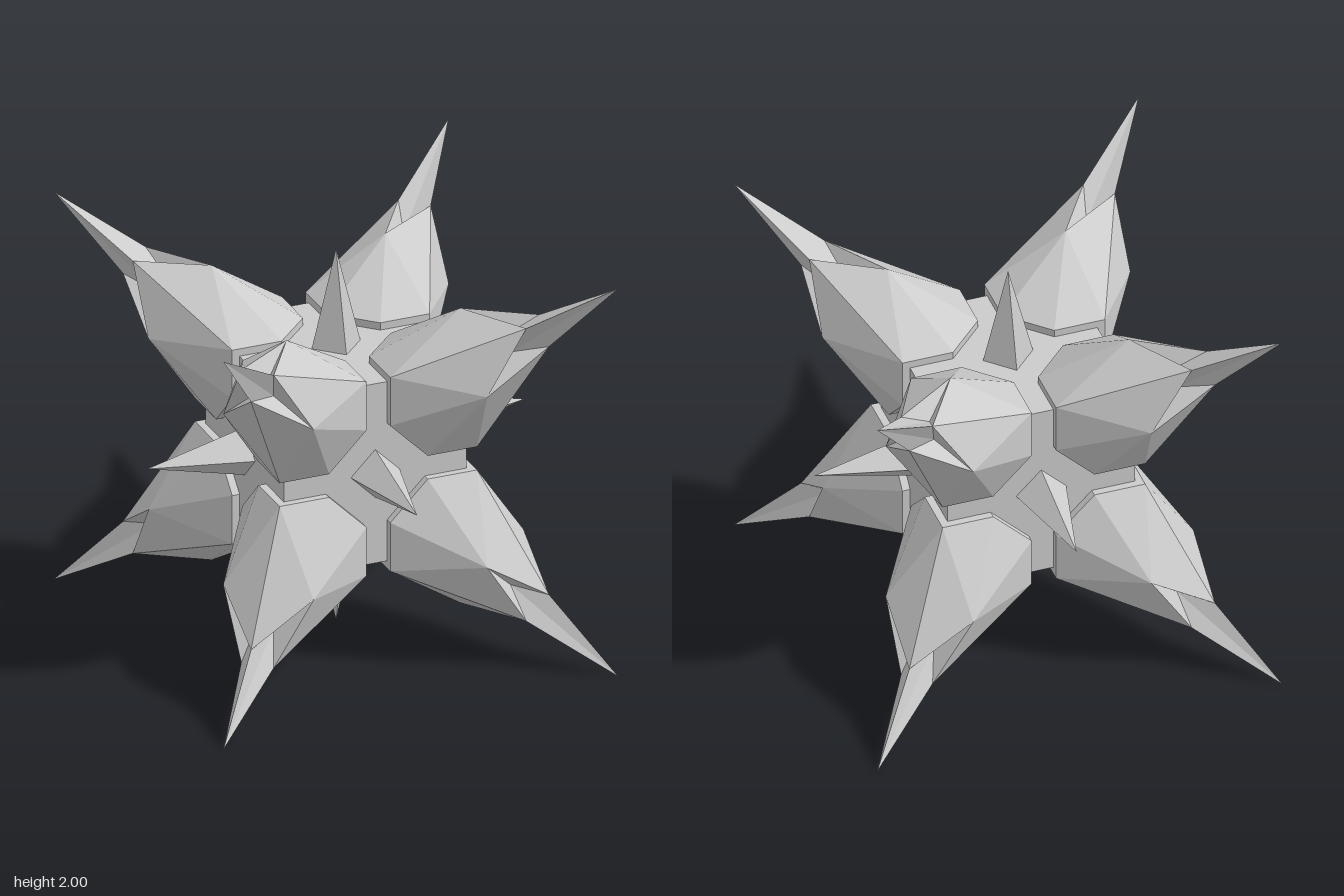
import * as THREE from 'three';

const material = new THREE.MeshStandardMaterial({ color: 0xcccccc, flatShading: true });

// One third of a corner crystal, around the z axis; the rest follows by rotating coordinates
const P = {
  tip: [1, 1, 1],
  crown: [0.44, 0.44, 0.76],
  shoulderA: [0.06, 0.5, 0.5], shoulderB: [0.5, 0.06, 0.5],
  bevelA: [0.06, 0.25, 0.5], bevelB: [0.25, 0.06, 0.5],
  prongA: [0.64, 0.755, 0.755], prongB: [0.755, 0.64, 0.755],
  notch: [0.6, 0.6, 0.66],
  rootA: [0.06, 0.25, 0.25], rootB: [0.25, 0.06, 0.25],
  sideA: [0.06, 0.5, 0.25],
};

function crystalTriangles() {
  const tris = [];
  // facets fanned around the crown
  const rim = [P.shoulderA, P.bevelA, P.bevelB, P.shoulderB, P.prongB, P.notch, P.prongA];
  rim.forEach((p, i) => tris.push([P.crown, p, rim[(i + 1) % rim.length]]));
  // long point
  tris.push([P.tip, P.prongA, P.notch], [P.tip, P.notch, P.prongB]);
  // walls that sink into the core
  const quad = (a, b, c, d) => tris.push([a, b, c], [a, c, d]);
  quad(P.shoulderA, P.sideA, P.rootA, P.bevelA);
  quad(P.bevelA, P.rootA, P.rootB, P.bevelB);
  return tris;
}

function crystalGeometry(sx, sy, sz) {
  const positions = [];
  const flip = sx * sy * sz < 0;
  for (let turn = 0; turn < 3; turn++) {
    for (const tri of crystalTriangles()) {
      const corners = flip ? [tri[0], tri[2], tri[1]] : tri;
      for (const p of corners) {
        positions.push(
          p[turn % 3] * sx,
          p[(turn + 1) % 3] * sy,
          p[(turn + 2) % 3] * sz
        );
      }
    }
  }
  const geometry = new THREE.BufferGeometry();
  geometry.setAttribute('position', new THREE.Float32BufferAttribute(positions, 3));
  geometry.computeVertexNormals();
  return geometry;
}

export function createModel() {
  const model = new THREE.Group();
  model.name = 'spikedStar';
  const body = new THREE.Group();
  body.name = 'body';
  body.position.y = 1;
  model.add(body);

  const add = (geometry, name) => {
    const mesh = new THREE.Mesh(geometry, material);
    mesh.name = name;
    body.add(mesh);
    return mesh;
  };

  // central cube
  add(new THREE.BoxGeometry(0.925, 0.925, 0.925), 'core');

  // eight corner crystals
  for (const x of [-1, 1])
    for (const y of [-1, 1])
      for (const z of [-1, 1]) add(crystalGeometry(x, y, z), 'cornerCrystal');

  // six face spikes
  const up = new THREE.Vector3(0, 1, 0);
  const spike = new THREE.ConeGeometry(0.124, 0.497, 4).translate(0, 0.7085, 0);
  for (const axis of [[1, 0, 0], [0, 1, 0], [0, 0, 1]])
    for (const sign of [-1, 1]) {
      const direction = new THREE.Vector3(...axis).multiplyScalar(sign);
      add(spike, 'faceSpike').quaternion.setFromUnitVectors(up, direction);
    }

  return model;
}
